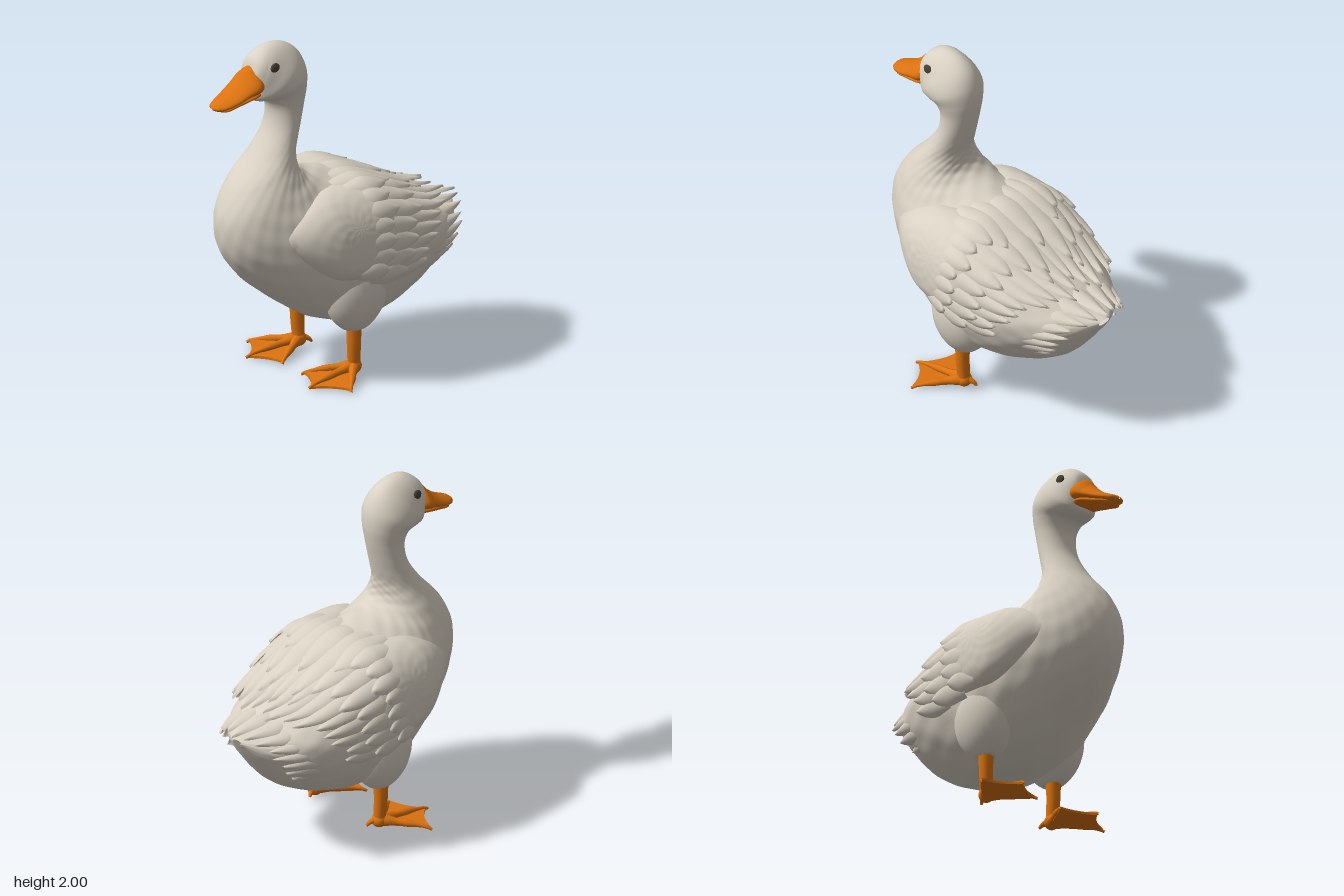
import * as THREE from 'three';
import { ParametricGeometry } from 'three/addons/geometries/ParametricGeometry.js';

const V = (x, y, z) => new THREE.Vector3(x, y, z);
const RAD = Math.PI / 180;
const lerp = THREE.MathUtils.lerp;

const plumage = new THREE.MeshStandardMaterial({ color: 0xd9d1c3, side: THREE.DoubleSide });
plumage.name = 'cream plumage';
const orange = new THREE.MeshStandardMaterial({ color: 0xdb7210 });
orange.name = 'orange skin';
const dark = new THREE.MeshStandardMaterial({ color: 0x4a3f35 });
dark.name = 'dark eye';

function add(parent, name, geometry, material) {
  const mesh = new THREE.Mesh(geometry, material);
  mesh.name = name;
  parent.add(mesh);
  return mesh;
}

// Oval loft. Each ring: upper z, y, lower z, y, half width, skew (positive widens the lower half).
function loft(rings, ripple = 0) {
  const upper = new THREE.CatmullRomCurve3(rings.map(r => V(r[4], r[1], r[0])));
  const lower = new THREE.CatmullRomCurve3(rings.map(r => V(r[5] ?? 0, r[3], r[2])));
  return (u, v, target) => {
    const p = upper.getPoint(v), q = lower.getPoint(v);
    const t = -2 * Math.PI * u;
    const fade = ripple * THREE.MathUtils.smoothstep(0.62 - v, 0, 0.15);
    const k = 1 + fade * Math.cos(14 * t) * Math.sin(v * 110);
    const c = Math.cos(t) * k;
    return target.set(
      Math.sin(t) * k * p.x * (1 - q.x * Math.cos(t)),
      (p.y + q.y) / 2 + c * (p.y - q.y) / 2,
      (p.z + q.z) / 2 + c * (p.z - q.z) / 2);
  };
}

// Curved sheet around the body: angle a is 0 on top, keys are half width, half height, centre y.
// Shoulder pushes the upper corners outwards.
function sheet(zFront, zBack, shoulder, keys) {
  const curve = new THREE.CatmullRomCurve3(keys.map(k => V(...k)));
  return (a, z, lift, target) => {
    const k = curve.getPoint(THREE.MathUtils.clamp((zFront - z) / (zFront - zBack), 0, 1));
    const s = Math.sin(a * RAD), c = Math.cos(a * RAD);
    const swell = c > 0 ? 1 + shoulder * (2 * s * c) ** 2 : 1;
    return target.set(s * (k.x + lift) * swell, k.z + c * (k.y + lift) * swell, z);
  };
}
const wingSheet = sheet(0.5, -0.75, 0.09, [
  [0.365, 0.30, 0.82], [0.445, 0.41, 0.76], [0.46, 0.43, 0.74],
  [0.43, 0.35, 0.72], [0.355, 0.205, 0.74], [0.22, 0.10, 0.78]]);
const tailSheet = sheet(-0.36, -0.86, 0, [
  [0.37, 0.27, 0.68], [0.27, 0.17, 0.69], [0.11, 0.07, 0.735]]);

// One pointed, domed feather lying on a sheet
function feather(parent, name, surface, a0, z0, a1, z1, width, lift) {
  add(parent, name, new ParametricGeometry((u, v, target) => {
    const s = 2 * u - 1;
    const half = width * (0.6 + 0.4 * Math.min(1, 2 * v)) * Math.pow(1 - v ** 3, 0.7) + 0.001;
    const a = lerp(a0, a1, v) + s * half / 0.42 / RAD;
    const rise = lift - 0.03 * (1 - v) ** 2 + 0.014 * (1 - s * s) + 0.006 * v;
    return surface(a, lerp(z0, z1, v), rise, target);
  }, 8, 14), plumage);
}

// Rounded oval pad lying on a sheet
function pad(parent, name, surface, a, z, ra, rz, lift, sink) {
  add(parent, name, new ParametricGeometry((u, v, target) => {
    const t = 2 * Math.PI * u, r = v + 0.002;
    const bumps = 0.004 * Math.sin(r * 24) * Math.cos(10 * t) * r * (1 - v);
    return surface(a + ra * r * Math.cos(t), z + rz * r * Math.sin(t),
      lift - sink * v ** 5 + bumps, target);
  }, 56, 24), plumage);
}

// Tapered limb with slight knuckles
function limb(parent, name, points, r0, r1, knuckle = 0) {
  const curve = new THREE.CatmullRomCurve3(points);
  const n = 18, sides = 12;
  const geo = new THREE.TubeGeometry(curve, n, 1, sides);
  const pos = geo.attributes.position, p = V(0, 0, 0);
  for (let i = 0; i < pos.count; i++) {
    const t = Math.floor(i / (sides + 1)) / n;
    const c = curve.getPointAt(t);
    const r = lerp(r0, r1, t) * (1 + knuckle * Math.sin(t * 14));
    p.fromBufferAttribute(pos, i).sub(c).multiplyScalar(r).add(c);
    pos.setXYZ(i, p.x, p.y, p.z);
  }
  geo.computeVertexNormals();
  add(parent, name, geo, orange);
}

function makeWing(side) {
  const wing = new THREE.Group();
  wing.name = side > 0 ? 'leftWing' : 'rightWing';
  pad(wing, 'wingUnderlay', wingSheet, side * 60, -0.12, 48, 0.38, -0.012, 0.05);
  pad(wing, 'wingShoulder', wingSheet, side * 64, 0.14, 46, 0.385, 0.018, 0.075);
  // Rows: name, count, angles, base z, tip z at top and bottom, half width, lift
  const rows = [
    ['primaryFeather', 8, 22, 106, -0.08, -0.68, -0.33, 0.064, 0.0],
    ['secondaryFeather', 7, 26, 103, 0.06, -0.40, -0.20, 0.066, 0.01],
    ['covertFeather', 7, 32, 98, 0.14, -0.17, -0.05, 0.062, 0.016]];
  for (const [name, n, aTop, aLow, z0, zTop, zLow, w, lift] of rows) {
    for (let i = 0; i < n; i++) {
      const f = i / (n - 1), a = lerp(aTop, aLow, f);
      const tip = lerp(zTop, zLow, f) + 0.025 * Math.sin(i * 2.4);
      feather(wing, name, wingSheet, side * (a + 2), z0, side * (a - 2), tip, w, lift - 0.003 * (i % 2));
    }
  }
  return wing;
}

function makeLeg(side) {
  const leg = new THREE.Group();
  leg.name = side > 0 ? 'leftLeg' : 'rightLeg';
  const P = (x, y, z) => V(side * x, y, z);
  // Feathered thigh
  const profile = [[0.03, 0.29], [0.06, 0.295], [0.11, 0.36], [0.143, 0.45], [0.15, 0.56], [0.12, 0.67], [0.02, 0.74]];
  const curve = new THREE.SplineCurve(profile.map(p => new THREE.Vector2(...p)));
  const thigh = add(leg, 'thigh', new THREE.LatheGeometry(curve.getPoints(24), 28), plumage);
  thigh.position.set(side * 0.262, 0, 0.05);
  thigh.scale.z = 1.3;
  // Shank, ankle and toes
  limb(leg, 'shank', [P(0.262, 0.35, 0.055), P(0.262, 0.2, 0.055), P(0.255, 0.05, 0.05)], 0.045, 0.035);
  const ankle = add(leg, 'ankle', new THREE.SphereGeometry(0.044, 18, 12), orange);
  ankle.position.set(side * 0.255, 0.06, 0.05);
  const tips = [[0.09, 0.29], [0.29, 0.39], [0.48, 0.24]];
  for (const [x, z] of tips) {
    limb(leg, 'toe', [P(0.255, 0.06, 0.05), P(lerp(0.255, x, 0.5), 0.046, lerp(0.05, z, 0.5)),
      P(lerp(0.255, x, 0.9), 0.026, lerp(0.05, z, 0.9)), P(x, 0.012, z)], 0.032, 0.007, 0.12);
  }
  limb(leg, 'hindToe', [P(0.255, 0.07, 0.04), P(0.235, 0.055, 0.0), P(0.225, 0.035, -0.02)], 0.025, 0.007);
  // Webbing, sloping down to the toe tips
  const web = new THREE.Shape();
  web.moveTo(side * 0.255, 0.03);
  web.lineTo(side * 0.095, 0.28);
  web.quadraticCurveTo(side * 0.2, 0.29, side * 0.29, 0.375);
  web.quadraticCurveTo(side * 0.36, 0.27, side * 0.47, 0.235);
  web.closePath();
  const geo = new THREE.ExtrudeGeometry(web, { depth: 0.014, bevelEnabled: false, curveSegments: 10 });
  geo.rotateX(Math.PI / 2);
  const pos = geo.attributes.position;
  for (let i = 0; i < pos.count; i++) pos.setY(i, pos.getY(i) + 0.02 + 0.08 * (0.39 - pos.getZ(i)));
  geo.computeVertexNormals();
  add(leg, 'webbing', geo, orange);
  return leg;
}

export function createModel() {
  const bird = new THREE.Group();
  bird.name = 'waterfowl';

  // Body, neck and head in one sweep from tail to face
  const shape = loft([
    [-0.80, 0.79, -0.79, 0.75, 0.04], [-0.68, 0.82, -0.70, 0.62, 0.19, -0.2], [-0.52, 0.90, -0.55, 0.44, 0.31, -0.25],
    [-0.32, 1.03, -0.32, 0.31, 0.39, -0.15], [-0.08, 1.14, -0.05, 0.26, 0.41, 0.05], [0.12, 1.19, 0.20, 0.32, 0.40, 0.08],
    [0.24, 1.22, 0.44, 0.48, 0.36, 0.05], [0.29, 1.255, 0.64, 0.65, 0.31], [0.305, 1.295, 0.75, 0.82, 0.262],
    [0.305, 1.335, 0.77, 1.00, 0.22], [0.30, 1.38, 0.70, 1.17, 0.177], [0.28, 1.45, 0.55, 1.35, 0.138],
    [0.255, 1.54, 0.46, 1.50, 0.118], [0.23, 1.64, 0.45, 1.62, 0.116], [0.215, 1.74, 0.485, 1.675, 0.132],
    [0.225, 1.84, 0.53, 1.68, 0.152], [0.27, 1.93, 0.57, 1.69, 0.15, 0.1], [0.36, 1.99, 0.585, 1.71, 0.128, 0.15],
    [0.47, 1.995, 0.59, 1.75, 0.106, 0.15], [0.56, 1.94, 0.595, 1.80, 0.075], [0.592, 1.87, 0.60, 1.84, 0.01]], 0.007);
  add(bird, 'bodyNeckAndHead', new ParametricGeometry(shape, 96, 150), plumage);

  // Bill halves
  add(bird, 'upperBill', new ParametricGeometry(loft([
    [0.53, 1.90, 0.53, 1.75, 0.08, 0.5], [0.595, 1.89, 0.575, 1.74, 0.106, 0.5], [0.65, 1.83, 0.65, 1.725, 0.098, 0.4],
    [0.72, 1.773, 0.72, 1.703, 0.088, 0.3], [0.785, 1.738, 0.785, 1.685, 0.07, 0.2], [0.825, 1.718, 0.825, 1.682, 0.045],
    [0.843, 1.70, 0.843, 1.692, 0.005]]), 32, 36), orange);
  add(bird, 'lowerBill', new ParametricGeometry(loft([
    [0.53, 1.78, 0.53, 1.71, 0.07], [0.60, 1.765, 0.60, 1.712, 0.095], [0.70, 1.735, 0.70, 1.687, 0.08],
    [0.78, 1.705, 0.78, 1.67, 0.06], [0.815, 1.69, 0.815, 1.678, 0.005]]), 28, 24), orange);

  for (const side of [1, -1]) {
    // Eye set on the head surface
    const eye = add(bird, side > 0 ? 'leftEye' : 'rightEye', new THREE.SphereGeometry(0.03, 20, 14), dark);
    shape(0.22, 17.5 / 20, eye.position);
    eye.position.x = side * (Math.abs(eye.position.x) - 0.003);
    eye.scale.x = 0.45;
    bird.add(makeWing(side), makeLeg(side));
  }

  // Back feathers between the wings
  for (const [a, tip] of [[-18, -0.52], [18, -0.52], [-8, -0.64], [8, -0.64], [0, -0.56]]) {
    feather(bird, 'longBackFeather', wingSheet, a, 0, a, tip, 0.065, 0.004);
  }
  for (const [a, tip] of [[-24, -0.24], [24, -0.24], [-13, -0.46], [13, -0.46], [0, -0.33]]) {
    feather(bird, 'shortBackFeather', wingSheet, a, 0.16, a, tip, 0.075, 0.01);
  }

  // Tail feathers, fanned from the middle outwards
  const fan = [[0, -0.84], [24, -0.81], [46, -0.79], [66, -0.74], [84, -0.73], [100, -0.68], [118, -0.65], [136, -0.58]];
  for (const [a, tip] of fan) {
    for (const side of a ? [1, -1] : [1]) {
      feather(bird, 'tailFeather', tailSheet, side * a, tip + 0.36, side * a, tip, 0.09, 0.004);
    }
  }
  return bird;
}
